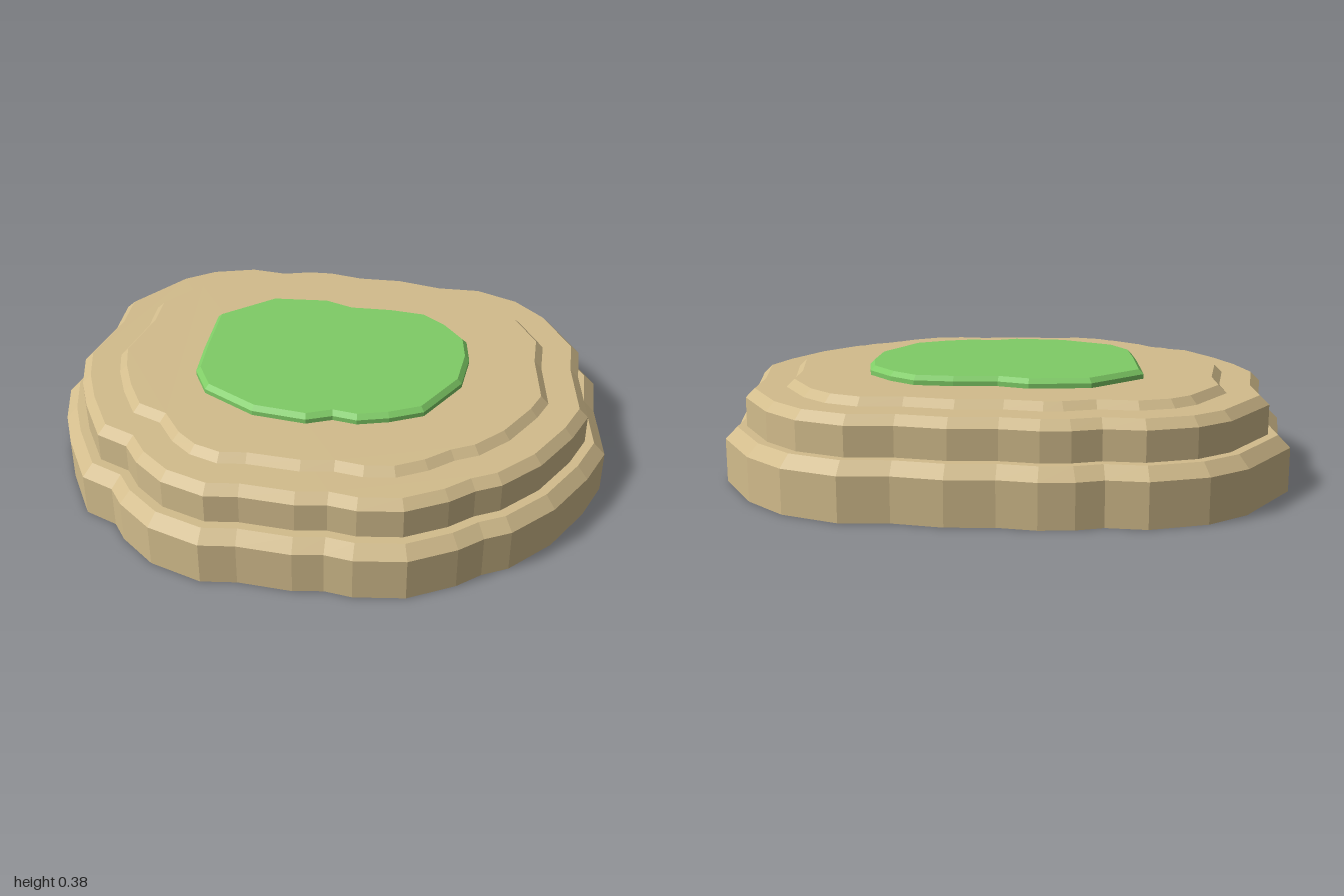
import * as THREE from 'three';

// Outlines as [x, z], running back -> right -> front -> left
const ROCK = [
  [-0.15, -0.85], [-0.02, -0.83], [0.14, -0.84], [0.31, -0.81], [0.475, -0.82], [0.67, -0.745], [0.81, -0.615],
  [0.95, -0.38], [0.955, -0.19], [1.0, 0.08], [0.945, 0.24], [0.845, 0.43], [0.715, 0.58], [0.63, 0.63],
  [0.555, 0.7], [0.405, 0.79], [0.235, 0.82], [0.14, 0.81], [0.04, 0.83], [-0.145, 0.825], [-0.265, 0.845],
  [-0.45, 0.79], [-0.58, 0.69], [-0.635, 0.62], [-0.755, 0.575], [-0.875, 0.385], [-0.945, 0.24], [-1.0, 0.065],
  [-0.965, -0.19], [-0.98, -0.375], [-0.81, -0.65], [-0.68, -0.755], [-0.49, -0.82], [-0.355, -0.81], [-0.265, -0.84],
];
const GRASS = [
  [-0.1, -0.425], [0.005, -0.39], [0.155, -0.4], [0.29, -0.39], [0.38, -0.325], [0.465, -0.225], [0.488, -0.105],
  [0.48, 0.06], [0.375, 0.265], [0.265, 0.325], [0.16, 0.36], [0.075, 0.35], [-0.01, 0.39], [-0.2, 0.375],
  [-0.395, 0.275], [-0.46, 0.165], [-0.475, 0.015], [-0.49, -0.23], [-0.31, -0.4],
];

// Move every edge of an outline inward by d, with mitred corners
function inset(outline, d) {
  const count = outline.length;
  const normal = (p, q) => {
    const dx = q[0] - p[0], dz = q[1] - p[1], len = Math.hypot(dx, dz);
    return [-dz / len, dx / len];
  };
  return outline.map((p, i) => {
    const a = normal(outline[(i + count - 1) % count], p);
    const b = normal(p, outline[(i + 1) % count]);
    const k = d / (1 + a[0] * b[0] + a[1] * b[1]);
    return [p[0] + (a[0] + b[0]) * k, p[1] + (a[1] + b[1]) * k];
  });
}

// Faceted slab through levels of [y, inset], capped on top and optionally below
function slab(outline, levels, withBottom) {
  const pos = [];
  const rings = levels.map(([y, d]) => inset(outline, d).map(([x, z]) => [x, y, z]));
  const tri = (...corners) => corners.forEach((c) => pos.push(...c));
  for (let l = 0; l < rings.length - 1; l++) {
    const lo = rings[l], hi = rings[l + 1];
    for (let i = 0; i < lo.length; i++) {
      const j = (i + 1) % lo.length;
      tri(lo[i], hi[i], lo[j]);
      tri(hi[i], hi[j], lo[j]);
    }
  }
  const cap = (ring, up) => {
    const flat = ring.map(([x, , z]) => new THREE.Vector2(x, z));
    for (const [a, b, c] of THREE.ShapeUtils.triangulateShape(flat, [])) {
      if (up) tri(ring[a], ring[c], ring[b]);
      else tri(ring[a], ring[b], ring[c]);
    }
  };
  cap(rings[rings.length - 1], true);
  if (withBottom) cap(rings[0], false);
  const geometry = new THREE.BufferGeometry();
  geometry.setAttribute('position', new THREE.Float32BufferAttribute(pos, 3));
  geometry.computeVertexNormals();
  return geometry;
}

export function createModel() {
  const group = new THREE.Group();
  group.name = 'steppedRock';
  const sand = new THREE.MeshStandardMaterial({ color: 0xd2bc8c });
  sand.name = 'sandstone';
  const green = new THREE.MeshStandardMaterial({ color: 0x7fcc66 });
  green.name = 'grass green';

  const add = (name, geometry, material) => {
    const mesh = new THREE.Mesh(geometry, material);
    mesh.name = name;
    group.add(mesh);
  };

  // Three rock steps, each with a bevelled rim
  add('lowerStep', slab(ROCK, [[0, 0], [0.152, 0], [0.193, 0.04]], true), sand);
  add('middleStep', slab(ROCK, [[0.193, 0.072], [0.295, 0.072], [0.326, 0.103]]), sand);
  add('topStep', slab(ROCK, [[0.326, 0.208], [0.353, 0.235]]), sand);

  // Grass patch on the summit
  add('grassPatch', slab(GRASS, [[0.353, 0], [0.369, 0], [0.385, 0.016]]), green);
  return group;
}
